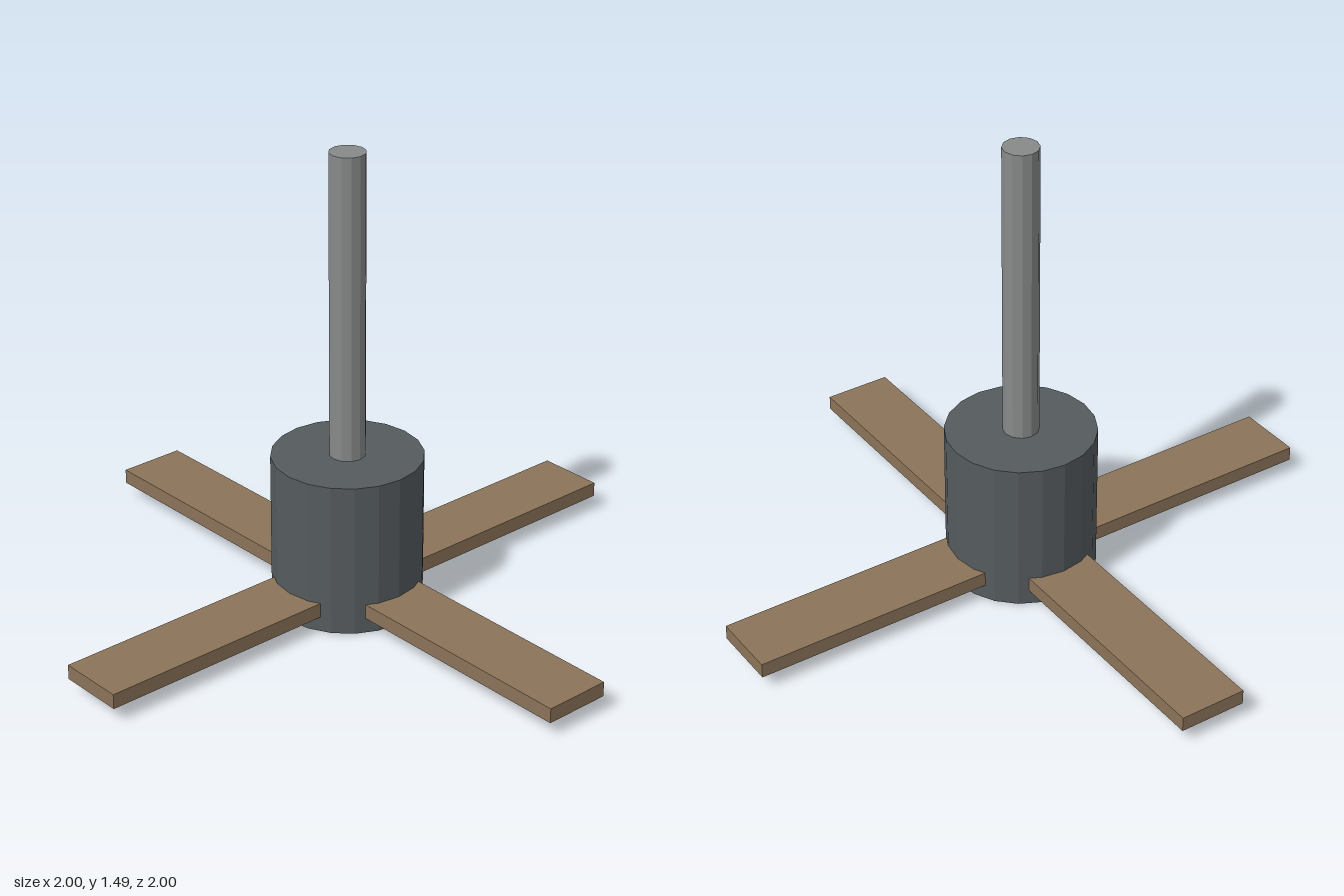
import * as THREE from 'three';

export function createModel() {
  const model = new THREE.Group();
  model.name = 'ceilingFan';

  const material = (name, color) => {
    const m = new THREE.MeshStandardMaterial({ color, flatShading: true });
    m.name = name;
    return m;
  };
  const darkMetal = material('darkMetal', 0x555b5e);
  const lightMetal = material('lightMetal', 0x888a8a);
  const wood = material('wood', 0x8b7359);

  const add = (parent, name, geometry, mat, x, y, z) => {
    const mesh = new THREE.Mesh(geometry, mat);
    mesh.name = name;
    mesh.position.set(x, y, z);
    parent.add(mesh);
    return mesh;
  };

  // Motor housing and the rod it hangs from
  add(model, 'motorHousing', new THREE.CylinderGeometry(0.238, 0.238, 0.5, 20), darkMetal, 0, 0.25, 0);
  add(model, 'downRod', new THREE.CylinderGeometry(0.057, 0.057, 0.985, 12), lightMetal, 0, 0.9925, 0);

  // Four flat blades, rooted just inside the housing
  const inner = 0.2, outer = 1;
  const bladeGeometry = new THREE.BoxGeometry(outer - inner, 0.048, 0.22);
  for (let i = 0; i < 4; i++) {
    const arm = new THREE.Group();
    arm.name = `bladeArm${i + 1}`;
    arm.rotation.y = (i * Math.PI) / 2;
    add(arm, `blade${i + 1}`, bladeGeometry, wood, (inner + outer) / 2, 0.073, 0);
    model.add(arm);
  }

  return model;
}
